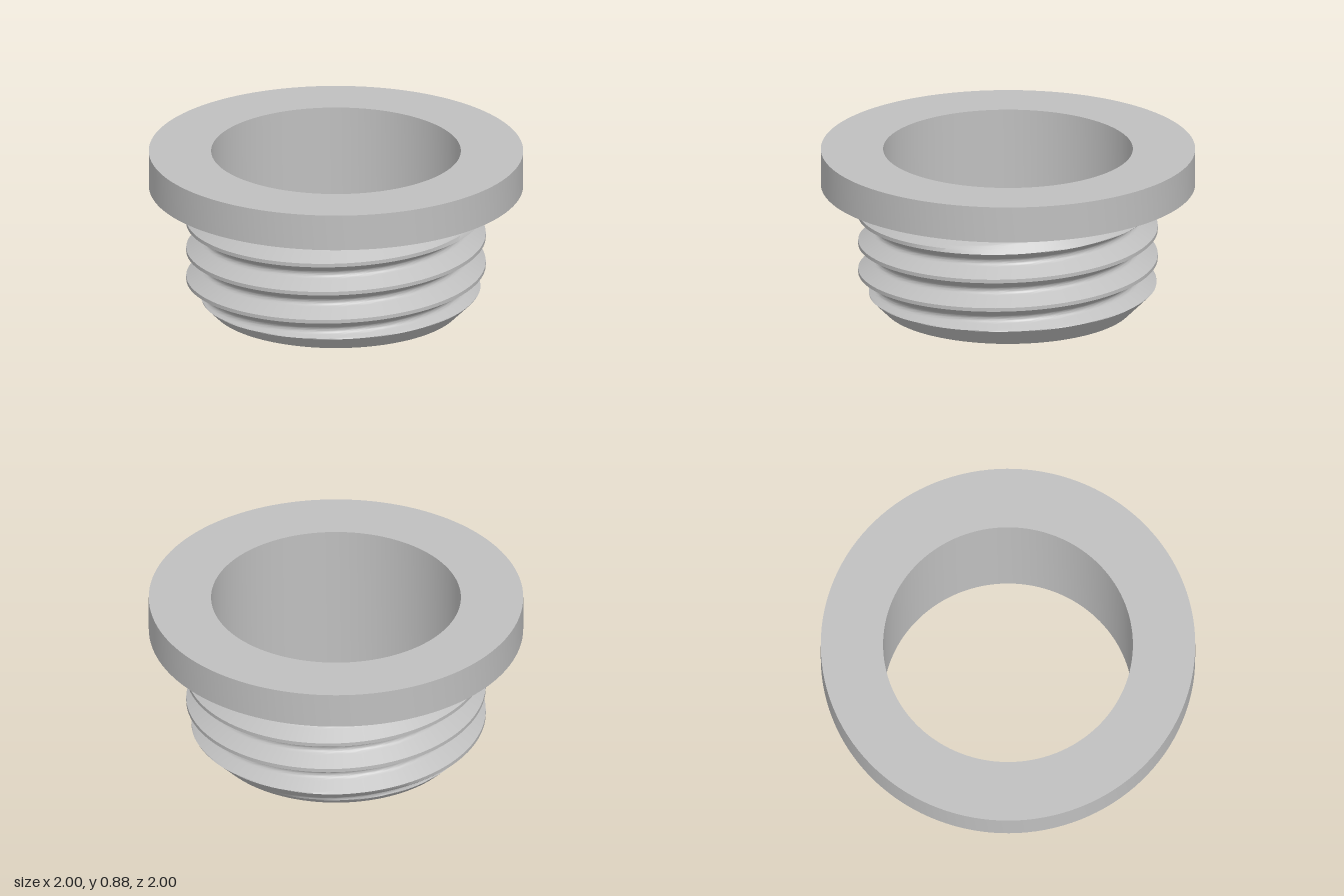
import * as THREE from 'three';
import { toCreasedNormals } from 'three/addons/utils/BufferGeometryUtils.js';

const BORE = 0.667, FLANGE_Y = 0.68, TOP_Y = 0.877, PITCH = 0.16, CREST = 0.8;
const SEGMENTS = 128;

// One pitch of the thread: [height, radius], from root to root around the crest.
function threadProfile() {
  const half = [];
  const flat = 0.01, rootRadius = 0.024, flankEnd = 0.0592, flankR = 0.715;
  for (let i = 0; i <= 12; i++) {
    const f = i / 12;
    half.push([flat + (flankEnd - flat) * f, CREST + (flankR - CREST) * f]);
  }
  // rounded root
  for (let i = 3; i >= 0; i--) {
    const a = (i / 4) * Math.PI / 3;
    half.push([PITCH / 2 - rootRadius * Math.sin(a), 0.727 - rootRadius * Math.cos(a)]);
  }
  const lower = half.slice(0, -1).map(([h, r]) => [-h, r]).reverse();
  return [...lower, ...half];
}

// Helical surface, trimmed by 45 degree chamfers at both ends.
function threadGeometry() {
  const rows = [];
  for (let turn = -2; turn <= 5; turn++) {
    for (const [h, r] of threadProfile()) rows.push([h + turn * PITCH + 0.07, r]);
  }
  const pos = [], index = [], n = rows.length;
  for (let c = 0; c <= SEGMENTS; c++) {
    const a = (c / SEGMENTS) * Math.PI * 2;
    const ys = rows.map(([h]) => THREE.MathUtils.clamp(h + PITCH * c / SEGMENTS, 0, FLANGE_Y));
    rows.forEach(([, radius], k) => {
      const r = Math.min(radius, BORE + ys[k], BORE + FLANGE_Y - ys[k]);
      pos.push(r * Math.cos(a), ys[k], -r * Math.sin(a));
      // skip rows that collapse beyond the ends
      if (c < SEGMENTS && k < n - 1) {
        const p = c * n + k, q = p + n;
        const low = rows[k + 1][0] + PITCH * (c + 1) / SEGMENTS;
        const high = rows[k][0] + PITCH * c / SEGMENTS;
        if (low > 0 && high < FLANGE_Y) index.push(p, q, q + 1, p, q + 1, p + 1);
      }
    });
  }
  const g = new THREE.BufferGeometry();
  g.setAttribute('position', new THREE.Float32BufferAttribute(pos, 3));
  g.setIndex(index);
  return toCreasedNormals(g, 0.45);
}

function lathe(points) {
  const g = new THREE.LatheGeometry(points.map(([r, y]) => new THREE.Vector2(r, y)), SEGMENTS);
  return toCreasedNormals(g, 0.45);
}

export function createModel() {
  const group = new THREE.Group();
  group.name = 'threadedBushing';
  const metal = new THREE.MeshStandardMaterial({ color: 0xbfbfbf });
  metal.name = 'grey metal';

  const add = (name, geometry) => {
    const mesh = new THREE.Mesh(geometry, metal);
    mesh.name = name;
    group.add(mesh);
  };

  // Flat collar at the top
  add('flange', lathe([[BORE, FLANGE_Y], [1, FLANGE_Y], [1, TOP_Y], [BORE, TOP_Y]]));
  // Straight hole through the whole part
  add('bore', lathe([[BORE, TOP_Y], [BORE, 0]]));
  // Screw thread around the sleeve
  add('thread', threadGeometry());
  return group;
}
